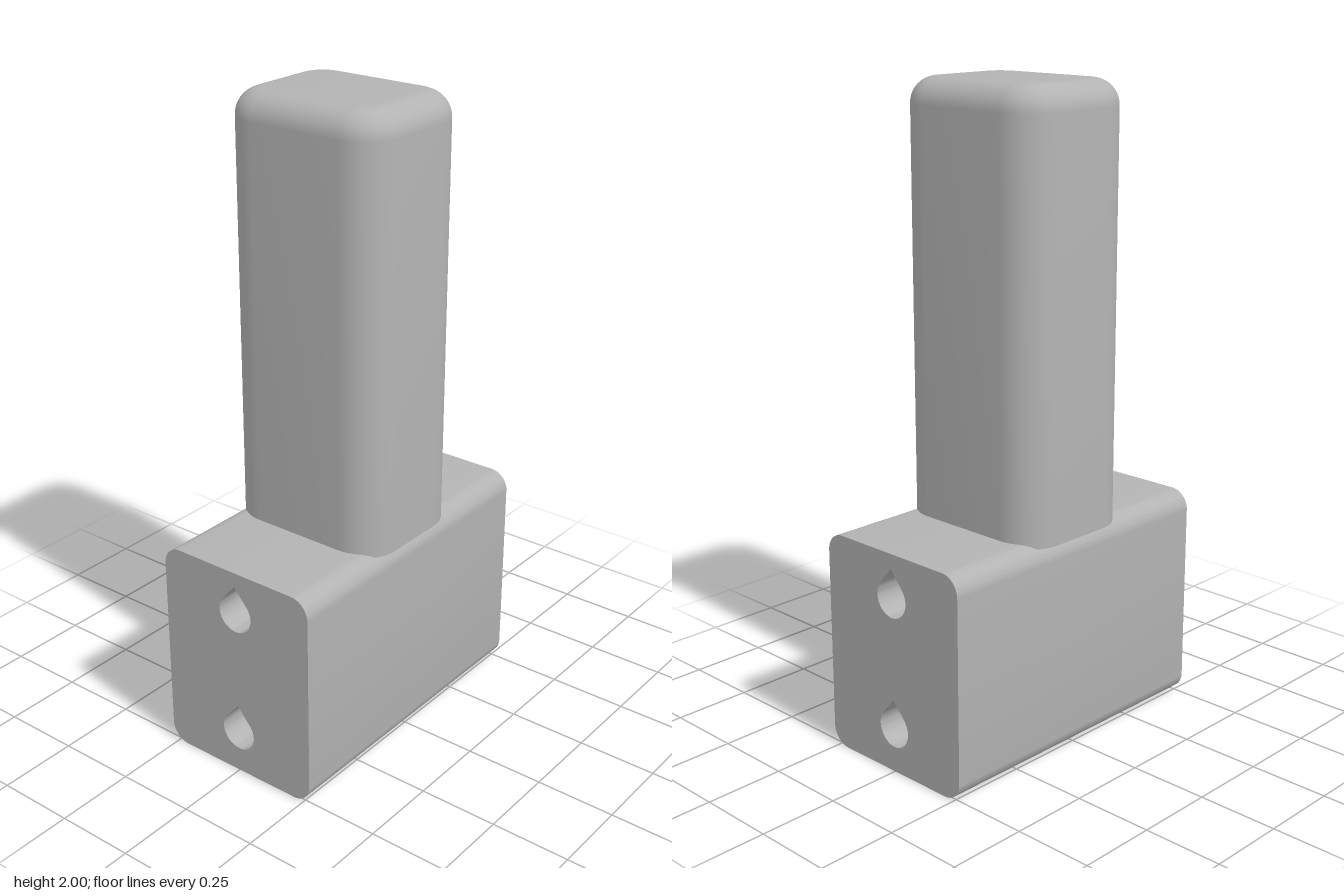
import * as THREE from 'three';
import { toCreasedNormals } from 'three/addons/utils/BufferGeometryUtils.js';

const DEPTH = 0.273; // shared half depth of base and post

// Rounded rectangle outline as a shape
function roundedRect(x0, y0, x1, y1, r) {
  const s = new THREE.Shape();
  s.absarc(x1 - r, y1 - r, r, 0, Math.PI / 2);
  s.absarc(x0 + r, y1 - r, r, Math.PI / 2, Math.PI);
  s.absarc(x0 + r, y0 + r, r, Math.PI, Math.PI * 1.5);
  s.absarc(x1 - r, y0 + r, r, Math.PI * 1.5, Math.PI * 2);
  s.closePath();
  return s;
}

// Teardrop: a circle with two tangent lines meeting at a tip above it
function teardrop(cy, r, tip) {
  const a = Math.acos(r / tip);
  const p = new THREE.Path();
  p.moveTo(0, cy + tip);
  p.absarc(0, cy, r, Math.PI / 2 + a, Math.PI * 2.5 - a, false);
  p.lineTo(0, cy + tip);
  return p;
}

// Block with two through-holes running along x
function baseGeometry() {
  const shape = roundedRect(-DEPTH, 0, DEPTH, 0.69, 0.06);
  for (const y of [0.14, 0.552]) shape.holes.push(teardrop(y, 0.06, 0.092));
  const g = new THREE.ExtrudeGeometry(shape, { depth: 1.02, bevelEnabled: false, curveSegments: 16 });
  g.translate(0, 0, -0.51).rotateY(Math.PI / 2);
  return toCreasedNormals(g, 0.5);
}

// Upright post: stacked rounded-rectangle rings with a filleted top
function postGeometry() {
  const halfX = 0.22, bottom = 0.675, top = 2, corner = 0.12, fillet = 0.078;
  const perCorner = 12, steps = 10, n = 4 * (perCorner + 1);
  const rings = [[bottom, 0]];
  for (let i = 0; i <= steps; i++) {
    const t = (i / steps) * Math.PI / 2;
    rings.push([top - fillet + fillet * Math.sin(t), fillet * (1 - Math.cos(t))]);
  }
  const pos = [], index = [];
  for (const [y, inset] of rings) {
    for (let c = 0; c < 4; c++) {
      const sx = c === 0 || c === 3 ? 1 : -1, sz = c < 2 ? 1 : -1;
      for (let k = 0; k <= perCorner; k++) {
        const a = (c + k / perCorner) * Math.PI / 2, r = corner - inset;
        pos.push(sx * (halfX - corner) + r * Math.cos(a), y, sz * (DEPTH - corner) + r * Math.sin(a));
      }
    }
  }
  const last = rings.length - 1, low = pos.length / 3, high = low + 1;
  pos.push(0, bottom, 0, 0, top, 0);
  for (let j = 0; j < n; j++) {
    const k = (j + 1) % n;
    for (let i = 0; i < last; i++) {
      const a = i * n + j, b = i * n + k;
      index.push(a, a + n, b, b, a + n, b + n);
    }
    index.push(low, j, k, high, last * n + k, last * n + j);
  }
  const g = new THREE.BufferGeometry();
  g.setAttribute('position', new THREE.Float32BufferAttribute(pos, 3));
  g.setIndex(index);
  return toCreasedNormals(g, 0.5);
}

export function createModel() {
  const grey = new THREE.MeshStandardMaterial({ color: 0xb3b3b3 });
  grey.name = 'plain grey';
  const group = new THREE.Group();
  group.name = 'blockWithPost';
  const parts = { base: baseGeometry(), post: postGeometry() };
  for (const [name, geometry] of Object.entries(parts)) {
    const mesh = new THREE.Mesh(geometry, grey);
    mesh.name = name;
    group.add(mesh);
  }
  return group;
}
